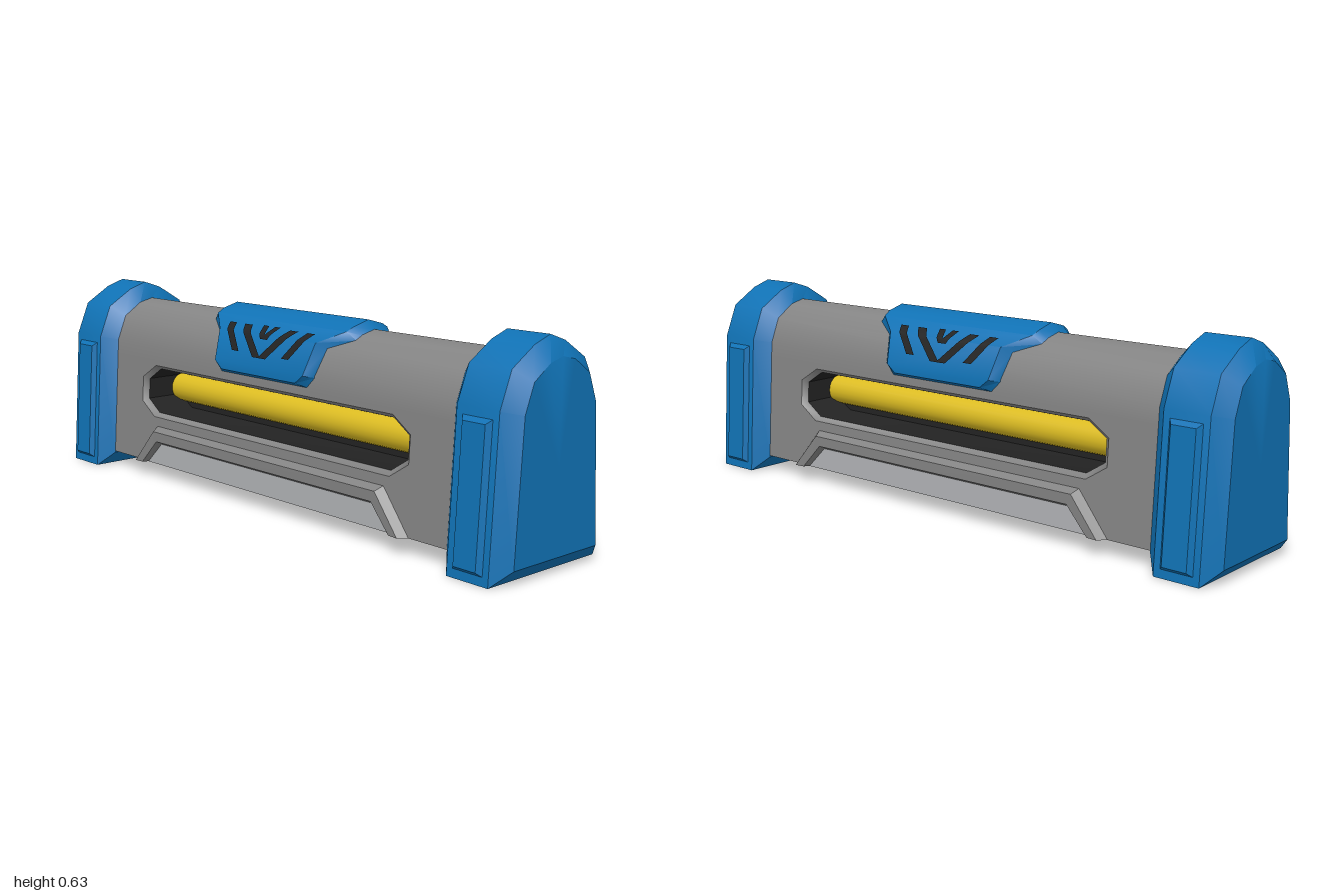
import * as THREE from 'three';
import { toCreasedNormals } from 'three/addons/utils/BufferGeometryUtils.js';

const mat = (name, color) => {
  const m = new THREE.MeshStandardMaterial({ color });
  m.name = name;
  return m;
};

// Skin between rows of points; closed joins the last point of a row to its first
function loft(rows, closed = false, crease = 0.72) {
  const pos = [];
  for (let i = 0; i < rows.length - 1; i++) {
    const r = rows[i], s = rows[i + 1], n = r.length;
    for (let j = 0; j < (closed ? n : n - 1); j++) {
      const k = (j + 1) % n;
      pos.push(...r[j], ...r[k], ...s[k], ...r[j], ...s[k], ...s[j]);
    }
  }
  const g = new THREE.BufferGeometry();
  g.setAttribute('position', new THREE.Float32BufferAttribute(pos, 3));
  return toCreasedNormals(g, crease);
}

// Half profile (right side, bottom to top) to a full one
const mirrorProfile = half => [...half, ...half.slice(0, -1).reverse().map(([x, y]) => [-x, y])];
const bodyHalf = [[0.17, 0.045], [0.145, 0.44], [0.113, 0.52], [0.05, 0.562], [0, 0.574]];
const capHalf = [[0.218, 0], [0.19, 0.45], [0.148, 0.552], [0.062, 0.605], [0, 0.626]];

// Sloping side planes: x at a given height
const bodyWall = y => 0.17 - 0.025 * (y - 0.045) / 0.395;
const capWall = y => 0.218 - 0.028 * y / 0.45;
const onWall = (wall, pts, off) => pts.map(([u, y]) => [wall(y) + off, y, -u]);

// Counter-clockwise outline with cut corners
const octagon = (w, y0, y1, cu, cy) => [
  [w - cu, y0], [w, y0 + cy], [w, y1 - cy], [w - cu, y1],
  [cu - w, y1], [-w, y1 - cy], [-w, y0 + cy], [cu - w, y0]];
const rect = (w, y0, y1) => [[w, y0], [w, y1], [-w, y1], [-w, y0]];

export function createModel() {
  const model = new THREE.Group();
  model.name = 'device';
  const blue = mat('blue', 0x1072b5);
  const grey = mat('grey', 0x848484);
  const lightGrey = mat('light grey', 0xadafb2);
  const dark = mat('dark', 0x232323);
  const yellow = mat('yellow', 0xdcbc22);
  const add = (parent, name, geo, material) => {
    const m = new THREE.Mesh(geo, material);
    m.name = name;
    parent.add(m);
    return m;
  };

  // Rounded roof of the body
  const roof = mirrorProfile([[bodyWall(0.39), 0.39], ...bodyHalf.slice(1)]);
  add(model, 'bodyRoof', loft([-0.78, 0.78].map(z => roof.map(([x, y]) => [x, y, z]))), grey);

  // Underside
  const under = new THREE.PlaneGeometry(0.339, 1.56).rotateX(Math.PI / 2).translate(0, 0.05, 0);
  add(model, 'underside', under, blue);

  // Tube seen through the slots
  const tube = new THREE.CylinderGeometry(0.048, 0.048, 1.2, 20).rotateX(Math.PI / 2).translate(0, 0.283, 0);
  add(model, 'tube', tube, yellow);

  // Bevelled end caps
  const capGeo = () => {
    const small = mirrorProfile(bodyHalf), big = mirrorProfile(capHalf);
    const ring = (p, z) => p.map(([x, y]) => [x, y, z]);
    const centre = z => small.map(() => [0, 0.28, z]);
    return loft([centre(0.775), ring(small, 0.775), ring(big, 0.817), ring(big, 0.957),
      ring(small, 1), centre(1)], true);
  };
  for (const turn of [0, Math.PI]) {
    add(model, 'endCap', capGeo(), blue).rotation.y = turn;
  }

  // Top cover draped over the roof: base x, base y, outer x, outer y, half length
  const cover = [
    [0.146, 0.402, 0.171, 0.415, 0.2], [0.144, 0.435, 0.17, 0.44, 0.232],
    [0.112, 0.519, 0.135, 0.535, 0.25], [0.07, 0.547, 0.083, 0.571, 0.325],
    [0.05, 0.56, 0.058, 0.584, 0.33], [0, 0.572, 0, 0.6, 0.33]];
  const coverFull = [...cover, ...cover.slice(0, -1).reverse()
    .map(([a, b, c, d, l]) => [-a, b, -c, d, l])];
  const edge = ([a, b, , , l]) => [l, l, -l, -l].map(z => [a, b, z]);
  const coverRows = coverFull.map(([a, b, c, d, l]) =>
    [[a, b, l], [c, d, l - 0.028], [c, d, 0.028 - l], [a, b, -l]]);
  add(model, 'topCover',
    loft([edge(coverFull[0]), ...coverRows, edge(coverFull[coverFull.length - 1])]), blue);

  // Vent strokes that follow the cover
  const coverX = y => {
    const i = Math.max(1, cover.findIndex(p => p[3] >= y));
    const [, , x0, y0] = cover[i - 1], [, , x1, y1] = cover[i];
    return x0 + (x1 - x0) * (y - y0) / (y1 - y0);
  };
  const stroke = (z0, y0, z1, y1, w) => {
    const rows = [];
    for (let i = 0; i <= 8; i++) {
      const t = i / 8, z = z0 + (z1 - z0) * t, y = y0 + (y1 - y0) * t, x = coverX(y) + 0.004;
      rows.push([[x, y + 0.003, z + w / 2], [x, y + 0.003, z - w / 2]]);
    }
    return loft(rows);
  };

  // Each long side; the second is the first turned half way round
  for (const turn of [0, Math.PI]) {
    const side = new THREE.Group();
    side.name = turn ? 'rightSide' : 'leftSide';
    side.rotation.y = turn;
    model.add(side);

    // Side wall with the slot opening
    const outer = octagon(0.62, 0.205, 0.377, 0.07, 0.045);
    const inner = octagon(0.603, 0.218, 0.365, 0.062, 0.04);
    const toV2 = p => p.map(([u, y]) => new THREE.Vector2(u, y));
    const wallShape = new THREE.Shape(toV2([[-0.78, 0.05], [0.78, 0.05], [0.78, 0.39], [-0.78, 0.39]]));
    wallShape.holes.push(new THREE.Path(toV2(outer).reverse()));
    const wallGeo = new THREE.ShapeGeometry(wallShape);
    const p = wallGeo.attributes.position;
    for (let i = 0; i < p.count; i++) p.setXYZ(i, bodyWall(p.getY(i)), p.getY(i), -p.getX(i));
    wallGeo.computeVertexNormals();
    add(side, 'sideWall', wallGeo, grey);

    // Slot lip and dark recess
    add(side, 'slotLip', loft([onWall(bodyWall, outer, 0), onWall(bodyWall, inner, -0.015)], true), grey);
    const floor = inner.map(([u, y]) => [0.01, y, -u]);
    add(side, 'slotRecess', loft([onWall(bodyWall, inner, -0.015), floor,
      floor.map(() => [0.01, 0.29, 0])], true), dark);

    // Raised lower rim around a lighter panel: bottom half length, top half length, top y, height
    const steps = [[0.635, 0.53, 0.175, 0], [0.615, 0.52, 0.162, 0.025],
      [0.58, 0.505, 0.13, 0.022], [0.57, 0.5, 0.12, 0.004]];
    const rim = steps.map(([b, t, y, off]) =>
      onWall(bodyWall, [[b, 0.05], [t, y], [-t, y], [-b, 0.05]], off));
    add(side, 'lowerRim', loft(rim), grey);
    const foot = j => rim.map(r => r[j]);
    const [a, b, c, d] = foot(0), [e, f, g, h] = foot(3);
    add(side, 'rimFoot', loft([[a, b], [d, c]]), grey);
    add(side, 'rimFoot', loft([[h, g], [e, f]]), grey);
    const last = rim[3];
    add(side, 'lowerPanel', loft([[last[1], last[2]], [last[0], last[3]]]), lightGrey);

    // Raised plates on the end caps
    for (const z of [-0.887, 0.887]) {
      const big = onWall(capWall, rect(0.05, 0.025, 0.427), 0);
      const mid = onWall(capWall, rect(0.038, 0.036, 0.415), 0.014);
      const plate = loft([big, mid, mid.map(() => [capWall(0.2255) + 0.014, 0.2255, 0])], true, 0.5);
      add(side, 'capPlate', plate, blue).position.z = z;
    }

    // Chevron vents
    for (const s of [-1, 1]) {
      add(side, 'ventOuter', stroke(s * 0.115, 0.475, s * 0.18, 0.553, 0.032), dark);
      add(side, 'ventMiddle', stroke(s * 0.012, 0.465, s * 0.105, 0.553, 0.036), dark);
      add(side, 'ventInner', stroke(s * 0.004, 0.52, s * 0.026, 0.556, 0.024), dark);
    }
  }
  return model;
}
